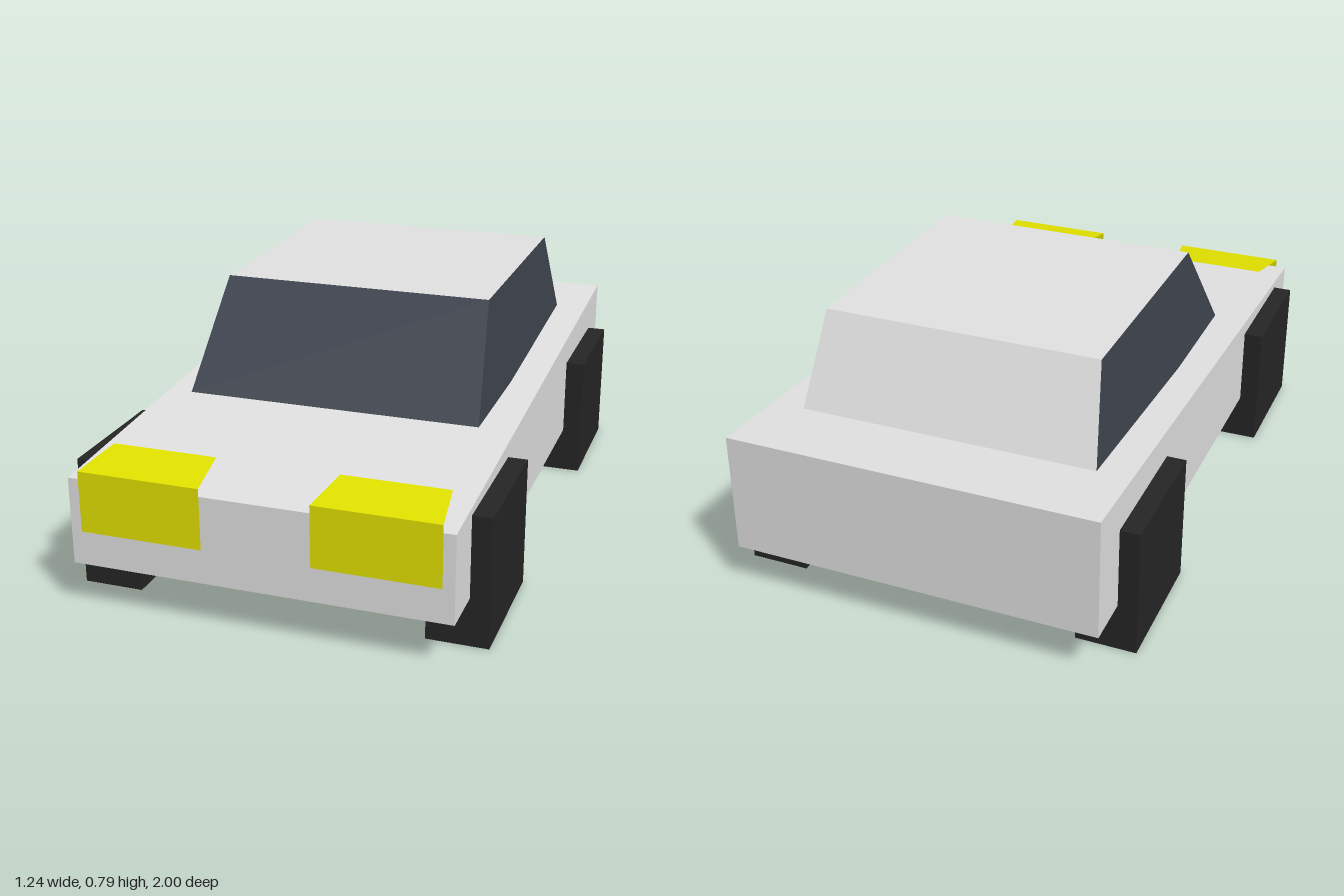
import * as THREE from 'three';

const material = (name, color, side = THREE.DoubleSide) => {
  const m = new THREE.MeshStandardMaterial({ color, side });
  m.name = name;
  return m;
};

// Box shell without a floor, whose corners are moved by a rule.
// Remaining face groups: +x, -x, +y, +z, -z
function openShell(rule) {
  const geo = new THREE.BoxGeometry(2, 2, 2);
  const p = geo.attributes.position;
  for (let i = 0; i < p.count; i++) p.setXYZ(i, ...rule(p.getX(i), p.getY(i), p.getZ(i)));
  const index = Array.from(geo.index.array);
  index.splice(18, 6);
  geo.setIndex(index);
  geo.clearGroups();
  for (let face = 0; face < 5; face++) geo.addGroup(face * 6, 6, face);
  geo.computeVertexNormals();
  return geo;
}

// Open strip of flat quads between rows of [halfWidth, y, z]
function foldedPlate(rows) {
  const pos = [];
  for (let i = 0; i < rows.length - 1; i++) {
    const [w0, y0, z0] = rows[i], [w1, y1, z1] = rows[i + 1];
    pos.push(-w0, y0, z0, w0, y0, z0, w1, y1, z1);
    pos.push(-w0, y0, z0, w1, y1, z1, -w1, y1, z1);
  }
  const geo = new THREE.BufferGeometry();
  geo.setAttribute('position', new THREE.Float32BufferAttribute(pos, 3));
  geo.computeVertexNormals();
  return geo;
}

export function createModel() {
  const car = new THREE.Group();
  car.name = 'car';

  const paint = material('grey paint', 0xe4e4e4);
  const glass = material('dark glass', 0x3d434e);
  const lamp = material('yellow lamp', 0xe4e400);
  const rubber = material('black rubber', 0x262626, THREE.FrontSide);

  const add = (name, geo, mat, x = 0, y = 0, z = 0) => {
    const mesh = new THREE.Mesh(geo, mat);
    mesh.name = name;
    mesh.position.set(x, y, z);
    car.add(mesh);
  };

  // Wedge body, taller at the rear and open underneath
  add('body', openShell((x, y, z) => [
    x * 0.563,
    y < 0 ? 0.148 : z > 0 ? 0.413 : 0.518,
    z > 0 ? 0.996 : -1,
  ]), paint);

  // Tapered cabin: glass sides and windscreen, painted roof and rear
  add('cabin', openShell((x, y, z) => y > 0
    ? [x * 0.426, 0.785, z > 0 ? 0.16 : -0.635]
    : [x * 0.464, 0.466, z > 0 ? 0.396 : -0.768]),
  [glass, glass, paint, glass, paint]);

  // Square wheels and folded headlamp plates, mirrored left and right
  const wheel = new THREE.BoxGeometry(0.184, 0.398, 0.412);
  const headlamp = foldedPlate([[0.184, 0.253, 1], [0.184, 0.438, 1], [0.16, 0.457, 0.826]]);
  for (const [side, s] of [['left', 1], ['right', -1]]) {
    add(side + 'FrontWheel', wheel, rubber, s * 0.53, 0.199, 0.635);
    add(side + 'RearWheel', wheel, rubber, s * 0.53, 0.199, -0.641);
    add(side + 'Headlamp', headlamp, lamp, s * 0.345);
  }

  return car;
}
